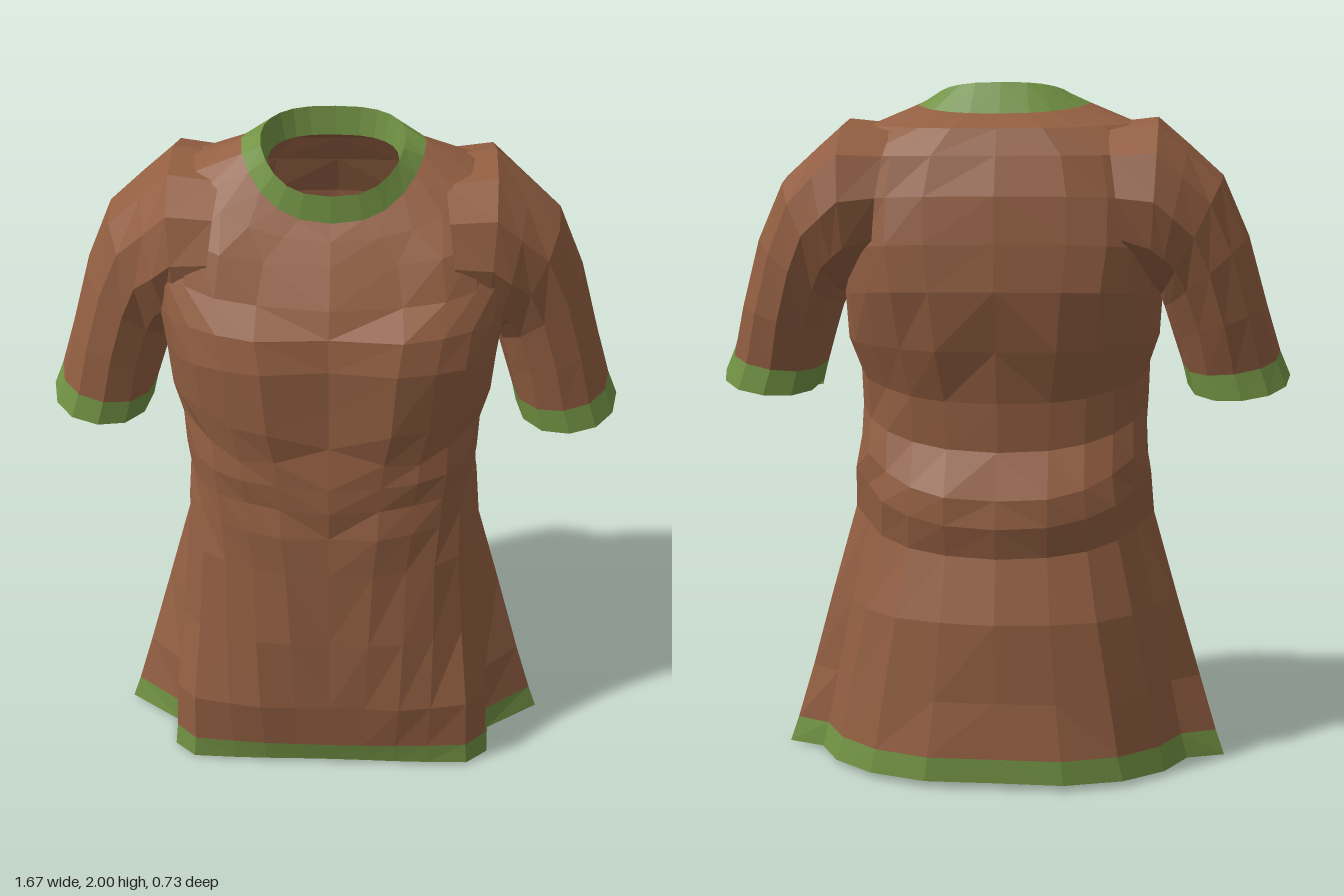
import * as THREE from 'three';

const SEG = 24;

// Small repeatable wobble for cloth wrinkles, equal on both sides
const wobble = (a, b) => {
  const s = Math.sin(a * 127.1 + b * 311.7) * 43758.5453;
  return (s - Math.floor(s)) * 2 - 1;
};
const spow = (v, p) => Math.sign(v) * Math.abs(v) ** p;

// Half outline of the pleated hem, front to back: flat panel, notch, side pleat, back
const HEM = [
  [0, 1], [0.15, 1], [0.3, 1], [0.45, 0.99], [0.64, 0.97], [0.74, 0.78], [0.75, 0.42],
  [1, 0.06], [0.83, -0.1], [0.73, -0.5], [0.55, -0.82], [0.3, -1], [0, -1],
];

// Torso ring: heights at front, side and back, half width, front z, back z, squareness
function torsoRing([yF, yS, yB, rx, zF, zB, n], wrinkle = 0.009) {
  const pts = [];
  const pleat = Math.max(0, 1 - yF / 1.05);
  for (let j = 0; j < SEG; j++) {
    const t = (j / SEG) * Math.PI * 2;
    const c = Math.abs(Math.cos(t)) < 1e-9 ? 0 : Math.cos(t);
    const s = Math.abs(Math.sin(t)) < 1e-9 ? 0 : Math.sin(t);
    // Plain rounded section above, turning into the pleated outline below
    const [hx, hz] = HEM[Math.min(j, SEG - j)];
    const u = THREE.MathUtils.lerp(spow(s, 2 / n), hx * Math.sign(s), pleat);
    const v = THREE.MathUtils.lerp(spow(c, 2 / n), hz, pleat);
    const k = wobble(Math.round(Math.abs(s) * 100) + (c > 0 ? 7 : 0), yF * 10 + rx) * wrinkle;
    const x = rx * u * (1 + k);
    let z = (zF + zB) / 2 + ((zF - zB) / 2) * v + k * Math.sign(c);
    let y = c > 0 ? yS + (yF - yS) * c ** 1.5 : yS + (yB - yS) * Math.abs(c) ** 1.2;
    if (c > 0) {
      const bust = Math.exp(-(((Math.abs(x) - 0.22) / 0.12) ** 2));
      if (yF > 1.15 && yF < 1.35) y -= 0.07 * bust; // curved line under the chest
      if (yF > 1.25 && yF < 1.55) z -= 0.018 * Math.exp(-((x / 0.07) ** 2)); // chest cleft
    }
    pts.push([x, y, z]);
  }
  return pts;
}

// Sleeve ring: outer x, y, inner x, y, front z, back z, sag of the front and back
function sleeveRing([ox, oy, ix, iy, zF, zB, sag = 0], side, wrinkle = 0) {
  const n = 12, pts = [];
  for (let j = 0; j < n; j++) {
    const t = (j / n) * Math.PI * 2;
    const c = spow(Math.cos(t), 0.92), s = spow(Math.sin(t), 0.92) * side;
    const k = 1 + wobble((j * side + n) % n, ox * 10) * wrinkle;
    const x = (ox + ix) / 2 + (c * k * (ox - ix)) / 2;
    const y = (oy + iy) / 2 + (c * k * (oy - iy)) / 2 - sag * Math.abs(s);
    pts.push([side * x, y, (zF + zB) / 2 + (s * k * (zF - zB)) / 2]);
  }
  return pts;
}

// Joins rings of points into an open skin
function loft(name, rings, material) {
  const n = rings[0].length, idx = [];
  for (let i = 0; i < rings.length - 1; i++) {
    for (let j = 0; j < n; j++) {
      const a = i * n + j, b = i * n + ((j + 1) % n), c = b + n, d = a + n;
      if (j < n / 2) idx.push(a, b, c, a, c, d);
      else idx.push(a, b, d, b, c, d);
    }
  }
  const indexed = new THREE.BufferGeometry();
  indexed.setAttribute('position', new THREE.Float32BufferAttribute(rings.flat(2), 3));
  indexed.setIndex(idx);
  const geo = indexed.toNonIndexed();
  geo.computeVertexNormals();
  const mesh = new THREE.Mesh(geo, material);
  mesh.name = name;
  return mesh;
}

export function createModel() {
  const fabric = new THREE.MeshStandardMaterial({ color: 0x935f42, side: THREE.DoubleSide, flatShading: true });
  fabric.name = 'brownCloth';
  const trim = new THREE.MeshStandardMaterial({ color: 0x729344, side: THREE.DoubleSide, flatShading: true });
  trim.name = 'greenTrim';
  const tunic = new THREE.Group();
  tunic.name = 'tunic';

  const hemTop = [0.085, 0.08, 0.09, 0.645, 0.3, -0.36, 2];
  const collarBase = [1.78, 1.95, 1.91, 0.25, 0.18, -0.185, 2.5];

  // Flared skirt, folded waist, chest and shoulders
  const body = [
    [0.25, 0.25, 0.25, 0.6, 0.33, -0.35, 2.1],
    [0.5, 0.5, 0.48, 0.53, 0.335, -0.345, 2.2],
    [0.75, 0.78, 0.66, 0.46, 0.34, -0.29, 2.4],
    [0.88, 0.92, 0.75, 0.445, 0.342, -0.32, 2.5],
    [0.97, 1.02, 0.83, 0.435, 0.34, -0.31, 2.5],
    [1.05, 1.1, 0.96, 0.43, 0.34, -0.25, 2.5],
    [1.18, 1.2, 1.1, 0.43, 0.34, -0.265, 2.6],
    [1.29, 1.28, 1.25, 0.46, 0.358, -0.31, 2.7],
    [1.42, 1.4, 1.42, 0.465, 0.368, -0.348, 2.9],
    [1.51, 1.52, 1.55, 0.485, 0.35, -0.345, 3],
    [1.58, 1.66, 1.68, 0.5, 0.295, -0.33, 2.9],
    [1.68, 1.8, 1.79, 0.49, 0.245, -0.305, 2.7],
    [1.74, 1.89, 1.865, 0.39, 0.21, -0.265, 2.4],
  ].map((r) => torsoRing(r));
  tunic.add(loft('body', [torsoRing(hemTop, 0), ...body, torsoRing(collarBase, 0)], fabric));

  // Bottom hem, turned up on the inside
  tunic.add(loft('bottomHem', [
    [0.06, 0.055, 0.06, 0.63, 0.275, -0.335, 2],
    [0.015, 0.0, 0.02, 0.67, 0.285, -0.36, 2],
    hemTop,
  ].map((r) => torsoRing(r, 0)), trim));

  // Tilted collar with an inner lining
  tunic.add(loft('collar', [
    collarBase,
    [1.855, 1.97, 2.0, 0.195, 0.178, -0.135, 2.7],
    [1.8, 1.9, 1.92, 0.178, 0.16, -0.13, 2.7],
  ].map((r) => torsoRing(r, 0)), trim));

  // Sleeves, with rounded shoulders blending into the chest and back
  const cuffTop = [0.805, 1.24, 0.525, 1.2, 0.1, -0.2, 0.035];
  const sleeve = [
    [0.3, 1.89, 0.36, 1.46, 0.23, -0.33],
    [0.445, 1.908, 0.42, 1.42, 0.22, -0.352],
    [0.53, 1.83, 0.44, 1.41, 0.195, -0.335],
    [0.63, 1.74, 0.455, 1.4, 0.16, -0.312],
    [0.705, 1.57, 0.47, 1.37, 0.13, -0.285],
    [0.765, 1.37, 0.5, 1.28, 0.115, -0.245],
  ];
  for (const side of [1, -1]) {
    const label = side > 0 ? 'left' : 'right';
    const rings = sleeve.map((r) => sleeveRing(r, side, 0.02));
    tunic.add(loft(label + 'Sleeve', [...rings, sleeveRing(cuffTop, side)], fabric));
    tunic.add(loft(label + 'Cuff', [
      cuffTop,
      [0.835, 1.17, 0.54, 1.14, 0.1, -0.2, 0.045],
      [0.785, 1.22, 0.55, 1.19, 0.08, -0.18, 0.035],
    ].map((r) => sleeveRing(r, side)), trim));
  }
  return tunic;
}
